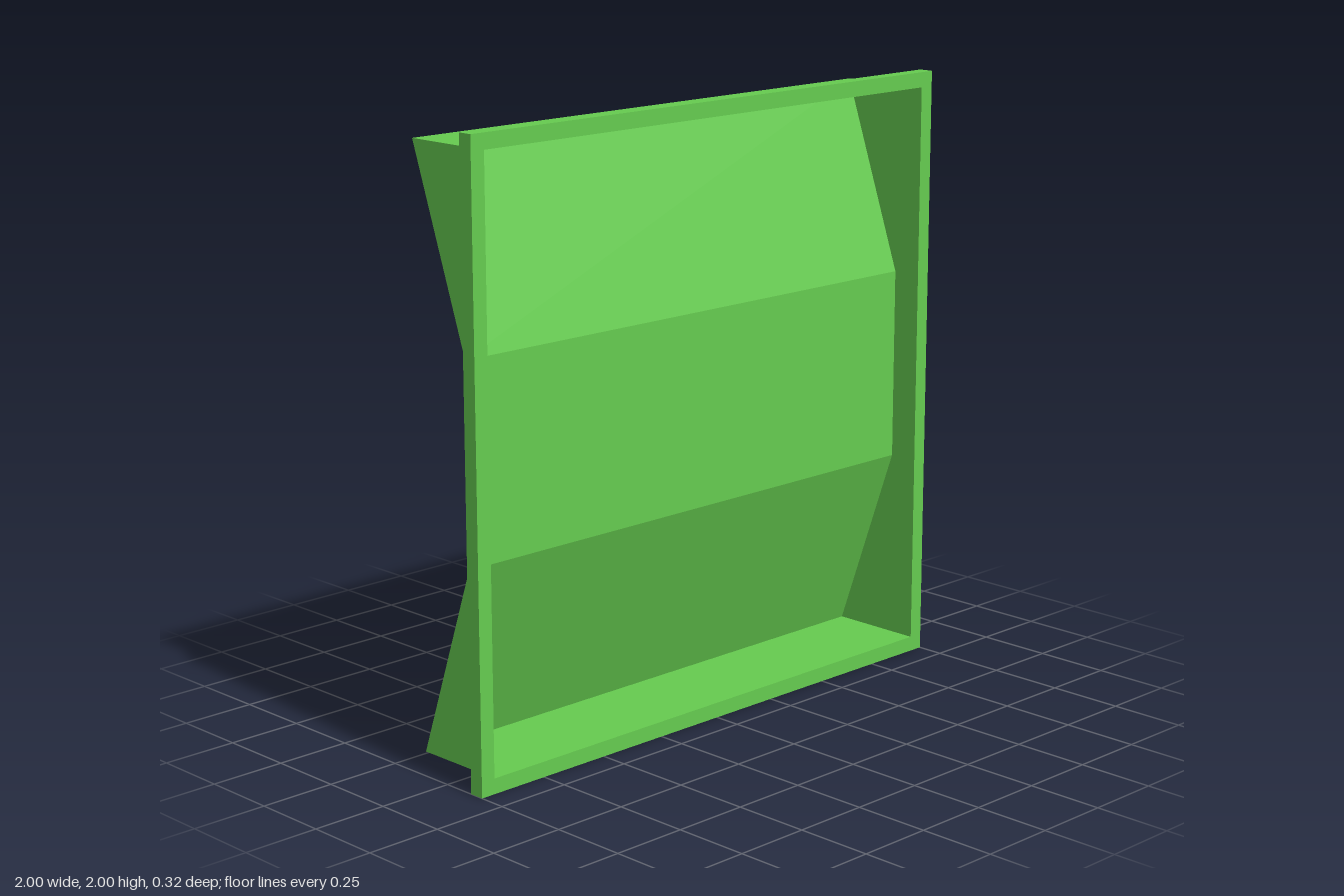
import * as THREE from 'three';

const FRONT = 0.16, BACK = -0.16, LIP = 0.11, WAIST = 0.06;
const material = new THREE.MeshStandardMaterial({
  color: 0x66cc50, flatShading: true, side: THREE.DoubleSide,
});

function addMesh(parent, name, geometry) {
  const mesh = new THREE.Mesh(geometry, material);
  mesh.name = name;
  parent.add(mesh);
  return mesh;
}

// Folded sheet: sweeps a [z, y] profile across x from -half to +half.
function sheet(profile, half) {
  const positions = [];
  for (let i = 0; i < profile.length - 1; i++) {
    const [z0, y0] = profile[i], [z1, y1] = profile[i + 1];
    const a = [-half, y0, z0], b = [half, y0, z0], c = [half, y1, z1], d = [-half, y1, z1];
    positions.push(...a, ...c, ...b, ...a, ...d, ...c);
  }
  const geometry = new THREE.BufferGeometry();
  geometry.setAttribute('position', new THREE.Float32BufferAttribute(positions, 3));
  geometry.computeVertexNormals();
  return geometry;
}

export function createModel() {
  const model = new THREE.Group();
  model.name = 'recessedPanel';

  // Flat front rim with a square opening
  const rim = new THREE.Shape([[-1, 0], [1, 0], [1, 2], [-1, 2]].map(p => new THREE.Vector2(...p)));
  rim.holes.push(new THREE.Path(
    [[-0.95, 0.05], [-0.95, 1.95], [0.95, 1.95], [0.95, 0.05]].map(p => new THREE.Vector2(...p))));
  addMesh(model, 'frontRim', new THREE.ShapeGeometry(rim)).position.z = FRONT;

  // Short lip folded back around the rim, open at the rear
  const lip = new THREE.Group();
  lip.name = 'outerLip';
  lip.position.set(0, 1, (FRONT + LIP) / 2);
  for (let i = 0; i < 4; i++) {
    const geometry = new THREE.PlaneGeometry(2, FRONT - LIP).rotateX(-Math.PI / 2);
    geometry.translate(0, 1, 0).rotateZ(i * Math.PI / 2);
    addMesh(lip, 'lipStrip', geometry);
  }
  model.add(lip);

  // Tray: deep at top and bottom, shallow across the middle
  const profile = [
    [FRONT, 0.05], [BACK, 0.05], [WAIST, 0.68],
    [WAIST, 1.32], [BACK, 1.95], [FRONT, 1.95],
  ];
  addMesh(model, 'trayBack', sheet(profile, 0.95));

  // Tray end walls follow the same profile
  const wall = new THREE.Shape(profile.map(([z, y]) => new THREE.Vector2(-z, y)));
  for (const side of [-1, 1]) {
    const geometry = new THREE.ShapeGeometry(wall).rotateY(Math.PI / 2);
    addMesh(model, side > 0 ? 'leftWall' : 'rightWall', geometry).position.x = side * 0.95;
  }
  return model;
}
